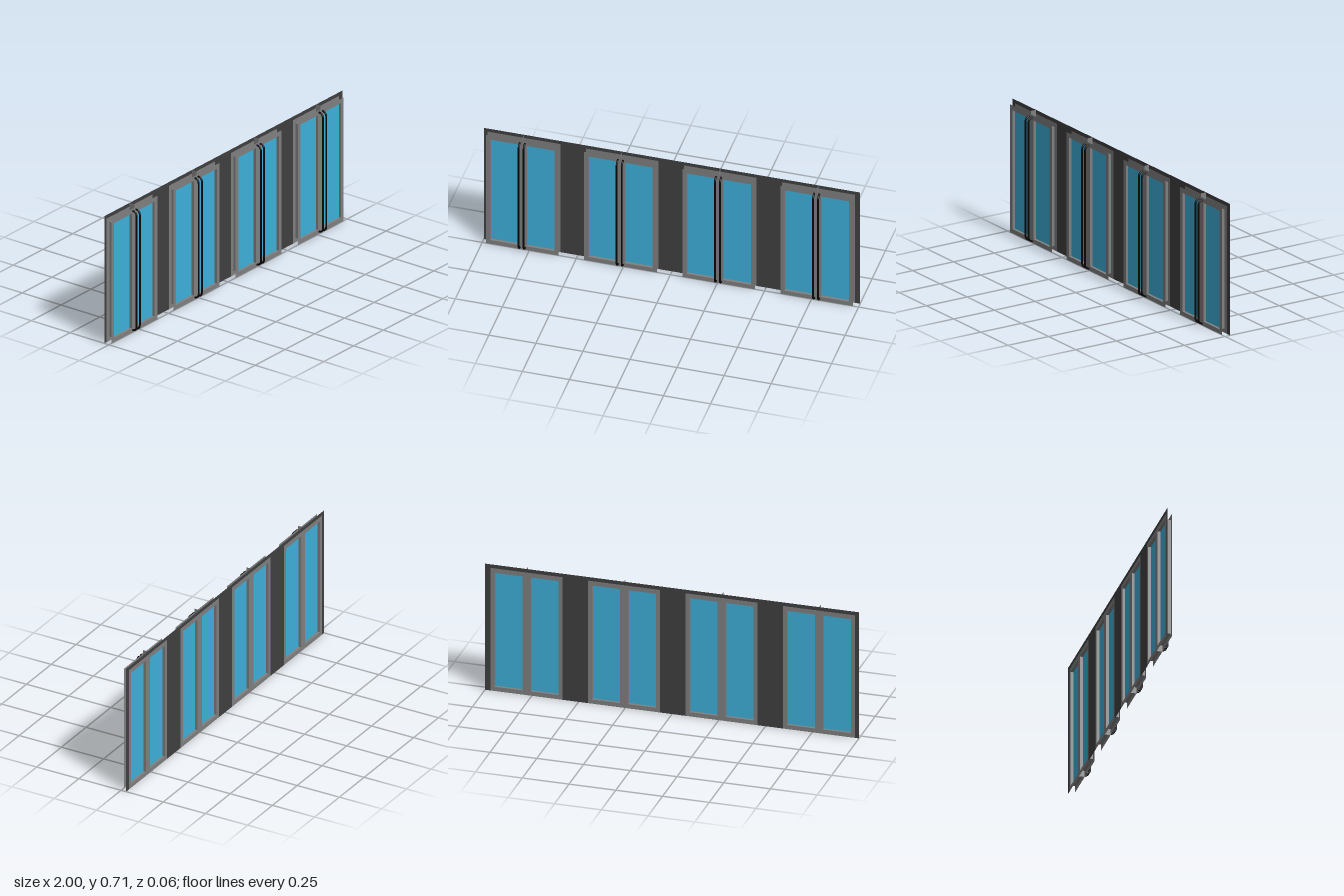
import * as THREE from 'three';

const mat = (name, color) => {
  const m = new THREE.MeshStandardMaterial({ color, side: THREE.DoubleSide });
  m.name = name;
  return m;
};

const H = 0.71, DEPTH = 0.03;                    // wall height, frame depth
const CENTRES = [-0.7865, -0.265, 0.257, 0.7785];  // door centres along the wall
const HALF = 0.193, FRAME_TOP = 0.69;            // door frame outline
const PANE_IN = 0.0215, PANE_OUT = 0.171;        // pane edges from the door centre
const PANE_LOW = 0.0235, PANE_HIGH = 0.665;

function rectPoints(x0, x1, y0, y1) {
  return [[x0, y0], [x1, y0], [x1, y1], [x0, y1]].map(p => new THREE.Vector2(...p));
}

export function createModel() {
  const model = new THREE.Group();
  model.name = 'doorWall';
  const wallMat = mat('dark wall', 0x404040);
  const frameMat = mat('grey frame', 0x808080);
  const glassMat = mat('blue glass', 0x3eb1db);
  const handleMat = mat('black handle', 0x050505);

  const add = (parent, name, geometry, material, x = 0, y = 0, z = 0) => {
    const mesh = new THREE.Mesh(geometry, material);
    mesh.name = name;
    mesh.position.set(x, y, z);
    parent.add(mesh);
    return mesh;
  };

  // Wall sheet, notched from below for each door
  const outline = [new THREE.Vector2(-1, H), new THREE.Vector2(-1, 0)];
  for (const c of CENTRES) {
    outline.push(
      new THREE.Vector2(c - HALF, 0), new THREE.Vector2(c - HALF, FRAME_TOP),
      new THREE.Vector2(c + HALF, FRAME_TOP), new THREE.Vector2(c + HALF, 0));
  }
  outline.push(new THREE.Vector2(1, 0), new THREE.Vector2(1, H));
  add(model, 'wall', new THREE.ShapeGeometry(new THREE.Shape(outline)), wallMat, 0, 0, -DEPTH);

  // Frame face with two pane openings
  const panes = [[-PANE_OUT, -PANE_IN], [PANE_IN, PANE_OUT]];
  const face = new THREE.Shape(rectPoints(-HALF, HALF, 0, FRAME_TOP));
  for (const [a, b] of panes) face.holes.push(new THREE.Path(rectPoints(a, b, PANE_LOW, PANE_HIGH)));
  const frontGeo = new THREE.ShapeGeometry(face);
  const backGeo = frontGeo.clone().rotateY(Math.PI);

  // Pull handle: straight bar with rounded returns to the door
  const v = (y, z) => new THREE.Vector3(0, y, z);
  const lo = 0.012, hi = 0.678, out = 0.025, r = 0.024;
  const path = new THREE.CurvePath();
  path.add(new THREE.QuadraticBezierCurve3(v(lo, 0), v(lo + 0.002, out - 0.002), v(lo + r, out)));
  path.add(new THREE.LineCurve3(v(lo + r, out), v(hi - r, out)));
  path.add(new THREE.QuadraticBezierCurve3(v(hi - r, out), v(hi - 0.002, out - 0.002), v(hi, 0)));
  const handleGeo = new THREE.TubeGeometry(path, 120, 0.005, 10, false);

  const paneH = PANE_HIGH - PANE_LOW, midY = (PANE_HIGH + PANE_LOW) / 2;
  for (const c of CENTRES) {
    const door = new THREE.Group();
    door.name = 'doubleDoor';
    door.position.x = c;
    model.add(door);
    add(door, 'frameFront', frontGeo, frameMat);
    add(door, 'frameBack', backGeo, frameMat, 0, 0, -DEPTH);

    // Seam between the two leaves
    add(door, 'seam', new THREE.PlaneGeometry(DEPTH, H).rotateY(Math.PI / 2), frameMat, 0, H / 2, -DEPTH / 2);

    for (const [a, b] of panes) {
      const mid = (a + b) / 2, w = b - a;
      add(door, 'glass', new THREE.PlaneGeometry(w, paneH), glassMat, mid, midY, -DEPTH / 2);
      // Reveals lining the opening
      const side = s => new THREE.PlaneGeometry(DEPTH, paneH).rotateY(s * Math.PI / 2);
      const flat = s => new THREE.PlaneGeometry(w, DEPTH).rotateX(-s * Math.PI / 2);
      add(door, 'revealRight', side(1), frameMat, a, midY, -DEPTH / 2);
      add(door, 'revealLeft', side(-1), frameMat, b, midY, -DEPTH / 2);
      add(door, 'revealBottom', flat(1), frameMat, mid, PANE_LOW, -DEPTH / 2);
      add(door, 'revealTop', flat(-1), frameMat, mid, PANE_HIGH, -DEPTH / 2);
    }
    for (const s of [-1, 1]) add(door, 'handle', handleGeo, handleMat, s * 0.0135);
  }
  return model;
}
